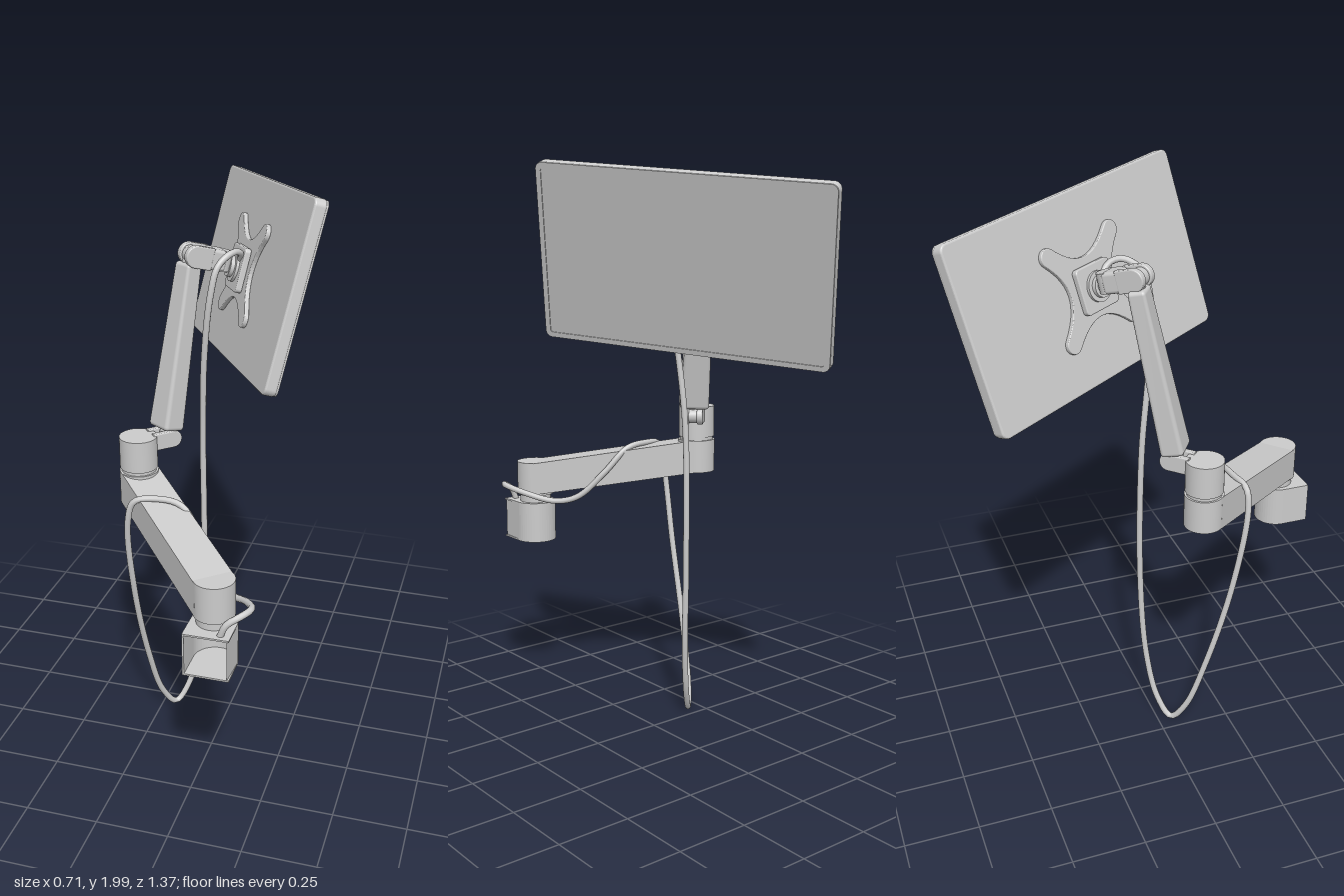
import * as THREE from 'three';
import { RoundedBoxGeometry } from 'three/addons/geometries/RoundedBoxGeometry.js';

const V = (x, y, z) => new THREE.Vector3(x, y, z);
const grey = new THREE.MeshStandardMaterial({ color: 0xcccccc });

function add(parent, name, geometry, x = 0, y = 0, z = 0) {
  const mesh = new THREE.Mesh(geometry, grey);
  mesh.name = name;
  mesh.position.set(x, y, z);
  parent.add(mesh);
  return mesh;
}

// Group placed at a point, with its y and (roughly) x axes aimed
function frame(parent, name, origin, yDir, xHint) {
  const y = yDir.clone().normalize();
  const z = xHint.clone().cross(y).normalize();
  const x = y.clone().cross(z);
  const g = new THREE.Group();
  g.name = name;
  g.quaternion.setFromRotationMatrix(new THREE.Matrix4().makeBasis(x, y, z));
  g.position.copy(origin);
  parent.add(g);
  return g;
}

const cyl = (r, h) => new THREE.CylinderGeometry(r, r, h, 40);

function roundedRect(w, h, r, Type = THREE.Shape) {
  const s = new Type();
  s.absarc(w / 2 - r, h / 2 - r, r, 0, Math.PI / 2);
  s.absarc(-w / 2 + r, h / 2 - r, r, Math.PI / 2, Math.PI);
  s.absarc(-w / 2 + r, -h / 2 + r, r, Math.PI, Math.PI * 1.5);
  s.absarc(w / 2 - r, -h / 2 + r, r, Math.PI * 1.5, Math.PI * 2);
  s.closePath();
  return s;
}

const extrude = (shape, depth, bevel = 0) => new THREE.ExtrudeGeometry(shape, {
  depth, curveSegments: 12, bevelEnabled: bevel > 0, bevelSize: bevel, bevelOffset: -bevel,
  bevelThickness: bevel, bevelSegments: 3,
});

// Two round-ended cheeks and a pin; the pivot is at the origin, x runs along the link
function fork(g, length, r, width) {
  const s = new THREE.Shape();
  s.absarc(0, 0, r, Math.PI / 2, Math.PI * 1.5);
  s.lineTo(length, -r);
  s.lineTo(length, r);
  s.closePath();
  const t = width * 0.3;
  for (const side of [-1, 1]) {
    add(g, 'forkCheek', extrude(s, t - 0.008, 0.004), 0, 0, side * (width - t) / 2 - t / 2 + 0.004);
  }
  add(g, 'hingePin', cyl(r * 0.8, width * 0.9)).rotation.x = Math.PI / 2;
}

// Wall bracket: U-shaped shell, open at the front
function wallBase(root) {
  const r = 0.075, w = 0.006, back = 0.1;
  const outline = new THREE.Shape();
  outline.moveTo(-r, -back);
  outline.lineTo(r, -back);
  outline.absarc(0, 0, r, 0, Math.PI);
  outline.closePath();
  const wall = new THREE.Shape();
  wall.moveTo(r, -back);
  wall.absarc(0, 0, r, 0, Math.PI);
  wall.lineTo(-r, -back);
  wall.lineTo(-r + w, -back);
  wall.absarc(0, 0, r - w, Math.PI, 0, true);
  wall.lineTo(r - w, -back);
  wall.closePath();
  const g = new THREE.Group();
  g.name = 'wallBase';
  g.position.set(0.115, 0.605, 0.585);
  root.add(g);
  add(g, 'baseWall', extrude(wall, 0.15)).rotation.x = -Math.PI / 2;
  for (const y of [0, 0.144]) add(g, 'basePlate', extrude(outline, 0.006), 0, y, 0).rotation.x = -Math.PI / 2;
  add(g, 'baseNeck', cyl(0.058, 0.05), 0, 0.165, 0);
}

// Lower arm: two round ends joined by a sheared beam
function lowerArm(root) {
  const a = V(-0.293, 0.953, 0.118), b = V(0.115, 0.845, 0.585), r = 0.067;
  add(root, 'lowerArmRearEnd', cyl(r, 0.118), a.x, a.y, a.z);
  add(root, 'lowerArmFrontEnd', cyl(r, 0.125), b.x, b.y, b.z);
  const dx = b.x - a.x, dz = b.z - a.z, len = Math.hypot(dx, dz);
  const geo = new THREE.BoxGeometry(len, 0.12, r * 2);
  const p = geo.attributes.position;
  for (let i = 0; i < p.count; i++) p.setY(i, p.getY(i) + p.getX(i) / len * (b.y - a.y));
  geo.computeVertexNormals();
  const beam = add(root, 'lowerArmBeam', geo, (a.x + b.x) / 2, (a.y + b.y) / 2, (a.z + b.z) / 2);
  beam.rotation.y = -Math.atan2(dz, dx);
  // swivel cap above the rear end
  add(root, 'swivelNeck', cyl(0.06, 0.03), a.x, 1.015, a.z);
  add(root, 'swivelCap', cyl(0.065, 0.112), a.x, 1.08, a.z);
}

function upperArm(root) {
  const bottom = V(-0.217, 1.145, 0.045), top = V(-0.162, 1.7, -0.065);
  const dir = top.clone().sub(bottom), len = dir.length();
  const g = frame(root, 'upperArm', bottom.clone().add(top).multiplyScalar(0.5), dir, V(0.81, 0, 0.58));
  const geo = new RoundedBoxGeometry(0.105, len, 0.08, 3, 0.014);
  const p = geo.attributes.position;
  for (let i = 0; i < p.count; i++) {
    const k = 0.86 - 0.28 * p.getY(i) / len;
    p.setX(i, p.getX(i) * k);
    p.setZ(i, p.getZ(i) * k);
  }
  add(g, 'upperArmBody', geo);
  add(g, 'topTongue', new RoundedBoxGeometry(0.026, 0.08, 0.045, 2, 0.008), 0, len / 2 + 0.015, 0);
  add(g, 'bottomTongue', new RoundedBoxGeometry(0.026, 0.07, 0.04, 2, 0.008), 0, -len / 2 - 0.015, 0);

  // lower hinge reaches from the swivel cap to the arm
  const lower = frame(root, 'lowerHinge', V(-0.207, 1.112, 0.035), V(0, 1, 0), V(-0.72, 0, 0.69));
  fork(lower, 0.075, 0.03, 0.07);

  // upper hinge carries the display swivel
  const head = frame(root, 'headLink', V(-0.148, 1.728, -0.06), V(0.2, 1, -0.18), V(0.09, -0.045, -0.08));
  fork(head, 0.06, 0.037, 0.08);
  add(head, 'headBlock', new RoundedBoxGeometry(0.07, 0.07, 0.078, 3, 0.012), 0.078, 0, 0);
  add(head, 'headEnd', cyl(0.036, 0.066), 0.108, 0, 0);
}

function display(root) {
  // local z points out of the glass
  const g = frame(root, 'display', V(0.022, 1.655, -0.18), V(0.196, 0.957, -0.213), V(-0.51, -0.1, -0.87));
  const w = 1.014, h = 0.61, zBack = -0.0225;
  add(g, 'displayShell', extrude(roundedRect(w, h, 0.025), 0.028, 0.006), 0, 0, zBack + 0.006);
  const bezel = roundedRect(w - 0.004, h - 0.004, 0.023);
  bezel.holes.push(roundedRect(w - 0.04, h - 0.04, 0.01, THREE.Path));
  add(g, 'bezel', extrude(bezel, 0.007), 0, 0, 0.0155);
  add(g, 'screen', new THREE.BoxGeometry(w - 0.04, h - 0.04, 0.003), 0, 0, 0.018);

  // four-armed mounting bracket with rounded lobes
  const s = new THREE.Shape(), c = 0.142, r = 0.03;
  for (let i = 0; i < 4; i++) {
    const a = Math.PI / 4 + i * Math.PI / 2;
    const cx = Math.SQRT2 * c * Math.cos(a), cy = Math.SQRT2 * c * Math.sin(a);
    s.absarc(cx, cy, r, a - Math.PI / 2, a + Math.PI / 2);
    const m = a + Math.PI / 4, n = a + Math.PI / 2;
    const ex = Math.SQRT2 * c * Math.cos(n) + r * Math.cos(n - Math.PI / 2);
    const ey = Math.SQRT2 * c * Math.sin(n) + r * Math.sin(n - Math.PI / 2);
    s.bezierCurveTo(
      cx - 0.12 * Math.cos(a) + r * Math.cos(n), cy - 0.12 * Math.sin(a) + r * Math.sin(n),
      ex - 0.12 * Math.cos(n), ey - 0.12 * Math.sin(n), ex, ey);
  }
  add(g, 'mountBracket', extrude(s, 0.01, 0.003), 0, 0, zBack - 0.012);
  add(g, 'mountPlate', extrude(roundedRect(0.15, 0.15, 0.015), 0.014, 0.004), 0, 0, zBack - 0.034);
  for (const [rad, len] of [[0.05, 0.048], [0.036, 0.062], [0.024, 0.09]]) {
    add(g, 'swivelDisc', cyl(rad, len), 0, 0, zBack - len / 2).rotation.x = Math.PI / 2;
  }
}

// Cable from the base, over the lower arm, hanging in a loop and up to the display
function cable(root) {
  const path = [
    [0.155, 0.75, 0.66], [0.175, 0.795, 0.66], [0.215, 0.82, 0.64], [0.237, 0.825, 0.6],
    [0.205, 0.805, 0.53], [0.12, 0.775, 0.445], [0.06, 0.795, 0.38], [-0.015, 0.89, 0.31],
    [-0.09, 0.975, 0.275], [-0.18, 0.988, 0.275], [-0.25, 0.975, 0.29], [-0.275, 0.9, 0.29],
    [-0.28, 0.6, 0.24], [-0.265, 0.28, 0.155], [-0.237, 0.08, 0.09], [-0.2, 0.012, 0.047],
    [-0.16, 0.08, 0.01], [-0.125, 0.26, -0.022], [-0.112, 0.6, -0.042], [-0.11, 1.1, -0.036],
    [-0.093, 1.4, -0.005], [-0.065, 1.62, 0.01], [-0.045, 1.71, -0.01], [-0.01, 1.745, -0.06],
    [0.005, 1.735, -0.1], [-0.005, 1.7, -0.135],
  ].map((p) => V(...p));
  add(root, 'cable', new THREE.TubeGeometry(new THREE.CatmullRomCurve3(path), 220, 0.011, 10));
}

export function createModel() {
  const root = new THREE.Group();
  root.name = 'displayArm';
  wallBase(root);
  lowerArm(root);
  upperArm(root);
  display(root);
  cable(root);
  return root;
}
